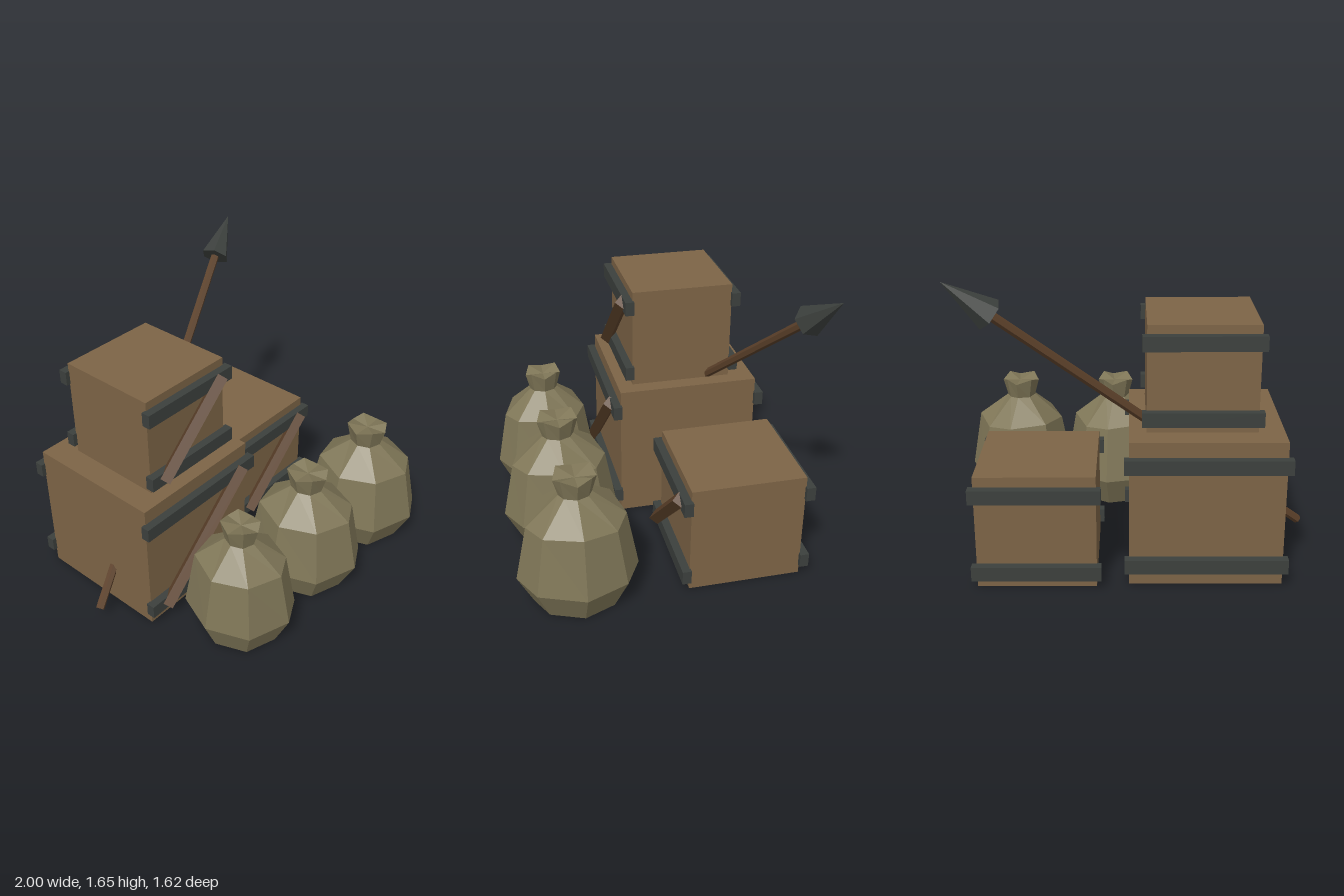
import * as THREE from 'three';

const material = (color, extra = {}) => new THREE.MeshStandardMaterial({ color, flatShading: true, ...extra });
const crateWood = material(0x7d6446);
const darkWood = material(0x5c412a);
const iron = material(0x3c403d);
const cloth = material(0x7f7657);

function addMesh(parent, name, geometry, mat, x = 0, y = 0, z = 0) {
  const mesh = new THREE.Mesh(geometry, mat);
  mesh.name = name;
  mesh.position.set(x, y, z);
  parent.add(mesh);
  return mesh;
}

// Cubic crate with two iron bands front and back and a diagonal front brace
function makeCrate(name, size, x, y, z) {
  const crate = new THREE.Group();
  crate.name = name;
  crate.position.set(x, y + size / 2, z);
  addMesh(crate, 'crateBox', new THREE.BoxGeometry(size, size, size), crateWood);
  for (const side of [1, -1]) {
    for (const level of [-0.35, 0.35]) {
      addMesh(crate, side > 0 ? 'frontBand' : 'backBand', new THREE.BoxGeometry(size + 0.05, 0.08, 0.05),
        iron, 0, level * size, side * (size / 2 + 0.02));
    }
  }
  const dx = 0.8 * size, dy = 0.745 * size;
  const brace = addMesh(crate, 'diagonalBrace', new THREE.CylinderGeometry(0.042, 0.042, Math.hypot(dx, dy), 4),
    darkWood, 0, 0, size / 2 + 0.046);
  brace.rotation.z = -Math.atan2(dx, dy);
  return crate;
}

// Uneven eight-sided outline of a sack at its widest, [x, z], starting at the front
const sackOutline = [[0.05, 0.34], [0.22, 0.25], [0.315, 0], [0.22, -0.235],
  [0.05, -0.33], [-0.21, -0.27], [-0.315, -0.01], [-0.215, 0.25]];
// [outline scale, height] from the bottom centre to the gathered top
const sackRings = [[0, 0], [0.73, 0], [1, 0.18], [0.81, 0.505], [0.27, 0.645], [0.35, 0.752], [0, 0.735]];

function makeSackGeometry() {
  const sides = sackOutline.length;
  const geometry = new THREE.LatheGeometry(sackRings.map(([r, y]) => new THREE.Vector2(r, y)), sides);
  const pos = geometry.attributes.position;
  for (let i = 0; i < pos.count; i++) {
    const column = Math.floor(i / sackRings.length) % sides;
    const ring = i % sackRings.length;
    const [scale, y] = sackRings[ring];
    const [ox, oz] = sackOutline[column];
    // The small upper rings are centred again; the rim is ragged
    const shift = ring >= 4 && scale > 0 ? 0.006 : 0;
    const wobble = ring === 5 ? (column % 2 ? 0.013 : -0.013) : ring === 3 ? (column % 3 - 1) * 0.012 : 0;
    pos.setXYZ(i, ox * scale - shift, y + wobble, oz * scale);
  }
  geometry.computeVertexNormals();
  return geometry;
}

// Shaft and head along one line from the butt to the tip
function makeSpear(butt, tip) {
  const spear = new THREE.Group();
  spear.name = 'spear';
  const length = butt.distanceTo(tip), headLength = 0.285;
  const shaftLength = length - headLength;
  addMesh(spear, 'spearShaft', new THREE.CylinderGeometry(0.025, 0.025, shaftLength, 6), darkWood, 0, shaftLength / 2, 0);
  addMesh(spear, 'spearHead', new THREE.ConeGeometry(0.085, headLength, 6), iron, 0, length - headLength / 2, 0);
  spear.position.copy(butt);
  spear.quaternion.setFromUnitVectors(new THREE.Vector3(0, 1, 0), tip.clone().sub(butt).normalize());
  return spear;
}

export function createModel() {
  const model = new THREE.Group();
  model.name = 'supplyPile';

  // Crates
  model.add(makeCrate('largeCrate', 0.81, -0.405, 0, -0.325));
  model.add(makeCrate('topCrate', 0.58, -0.38, 0.805, -0.3));
  model.add(makeCrate('sideCrate', 0.63, 0.485, 0, -0.44));

  // Row of sacks in front
  const sackGeometry = makeSackGeometry();
  [[-0.49, 0.9], [0.09, 0.96], [0.68, 1]].forEach(([x, width], i) => {
    const sack = addMesh(model, 'sack' + (i + 1), sackGeometry, cloth, x, 0, 0.465);
    sack.scale.set(width, 1, i === 0 ? 0.9 : 0.98);
  });

  // Spear leaning through the pile
  model.add(makeSpear(new THREE.Vector3(-0.985, 0.085, -0.155), new THREE.Vector3(0.88, 1.655, -0.81)));
  return model;
}
